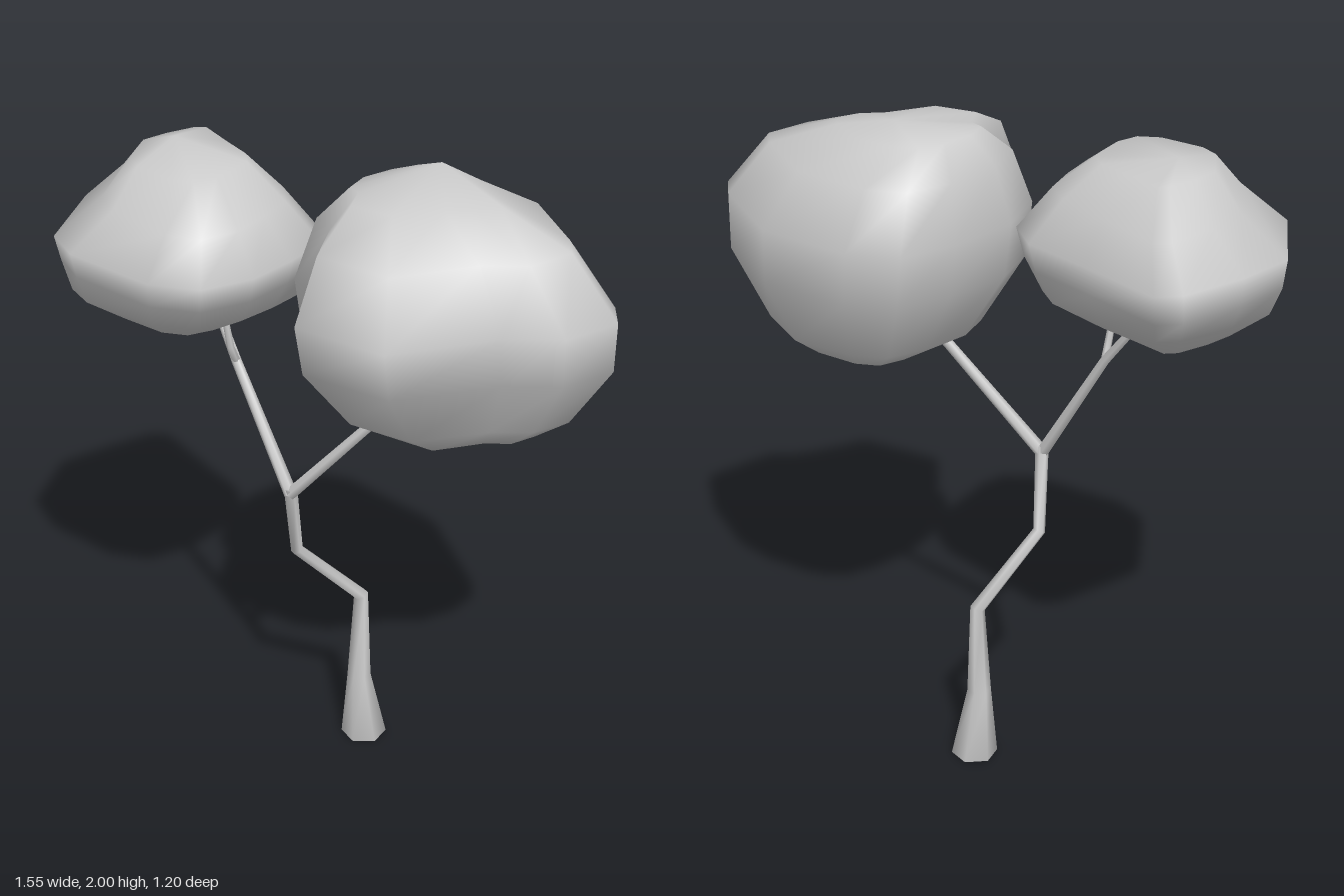
import * as THREE from 'three';

const material = new THREE.MeshStandardMaterial({ color: 0xcccccc });
const v3 = (x, y, z) => new THREE.Vector3(x, y, z);

// Closed smooth surface through rings of points, ended by a bottom and a top point
function loft(name, rings, bottom, top) {
  const n = rings[0].length;
  const points = [...rings.flat(), bottom, top];
  const b = points.length - 2, t = b + 1, last = (rings.length - 1) * n;
  const index = [];
  for (let i = 0; i < n; i++) {
    const j = (i + 1) % n;
    for (let r = 0; r < last; r += n) {
      index.push(r + i, r + n + i, r + j, r + j, r + n + i, r + n + j);
    }
    index.push(b, i, j, t, last + j, last + i);
  }
  const geometry = new THREE.BufferGeometry().setFromPoints(points);
  geometry.setIndex(index);
  geometry.computeVertexNormals();
  const mesh = new THREE.Mesh(geometry, material);
  mesh.name = name;
  return mesh;
}

// Tapered limb along nodes [x, y, z, radius]
function limb(name, nodes, sides = 6) {
  const centres = nodes.map(([x, y, z]) => v3(x, y, z));
  const up = v3(0, 1, 0);
  const rings = nodes.map((node, k) => {
    const before = centres[Math.max(k - 1, 0)];
    const after = centres[Math.min(k + 1, nodes.length - 1)];
    const dir = after.clone().sub(before).normalize();
    // the foot lies flat on the ground
    if (centres[k].y < 0.02) dir.copy(up);
    const turn = new THREE.Quaternion().setFromUnitVectors(up, dir);
    return Array.from({ length: sides }, (_, i) => {
      const a = (i / sides) * Math.PI * 2;
      return v3(Math.cos(a), 0, Math.sin(a)).multiplyScalar(node[3])
        .applyQuaternion(turn).add(centres[k]);
    });
  });
  return loft(name, rings, centres[0], centres[centres.length - 1]);
}

// Foliage: a plan outline fitted to levels [y, xMin, xMax, zMin, zMax]
function crown(name, outline, levels, bottom, top) {
  const plan = outline.map(([x, z]) => new THREE.Vector2(x, z));
  const box = new THREE.Box2().setFromPoints(plan);
  const unit = plan.map((p) => p.sub(box.min).divide(box.getSize(new THREE.Vector2())));
  const lerp = THREE.MathUtils.lerp;
  const rings = levels.map(([y, x0, x1, z0, z1]) =>
    unit.map((p) => v3(lerp(x0, x1, p.x), y, lerp(z0, z1, p.y))));
  return loft(name, rings, v3(...bottom), v3(...top));
}

export function createModel() {
  const tree = new THREE.Group();
  tree.name = 'tree';

  // Crooked trunk with a flared foot
  tree.add(limb('trunk', [
    [0.11, 0, -0.105, 0.07], [0.094, 0.22, -0.1, 0.036], [0.098, 0.51, -0.108, 0.023],
    [-0.095, 0.72, -0.03, 0.019], [-0.11, 0.97, 0.035, 0.02],
  ]));

  // Branches into the crowns
  tree.add(limb('leftBranch', [
    [-0.11, 0.95, 0.033, 0.02], [0.18, 1.3, 0.14, 0.015], [0.28, 1.42, 0.17, 0.012],
  ]));
  tree.add(limb('rightBranch', [
    [-0.11, 0.95, 0.033, 0.02], [-0.27, 1.31, -0.115, 0.015], [-0.36, 1.5, -0.25, 0.011],
  ]));
  tree.add(limb('twig', [
    [-0.27, 1.31, -0.115, 0.012], [-0.285, 1.37, -0.09, 0.011], [-0.305, 1.5, -0.09, 0.009],
  ]));

  // Large crown
  tree.add(crown('leftCrown', [
    [0.31, -0.25], [0.46, -0.2], [0.68, 0], [0.775, 0.3], [0.775, 0.4], [0.63, 0.5],
    [0.46, 0.5], [0.15, 0.6], [-0.09, 0.44], [-0.05, 0.23], [-0.1, 0.14], [-0.02, -0.03],
    [0.15, -0.17],
  ], [
    [1.28, 0.18, 0.58, -0.02, 0.35],
    [1.34, 0.06, 0.67, -0.1, 0.41],
    [1.54, -0.07, 0.775, -0.22, 0.55],
    [1.7, -0.09, 0.775, -0.245, 0.6],
    [1.87, -0.03, 0.65, -0.2, 0.49],
    [1.95, 0.06, 0.46, -0.07, 0.28],
  ], [0.42, 1.25, 0.08], [0.31, 2, 0.03]));

  // Small crown
  tree.add(crown('rightCrown', [
    [-0.4, -0.6], [-0.32, -0.6], [-0.17, -0.38], [-0.04, -0.2], [-0.02, -0.07], [-0.1, 0.05],
    [-0.2, 0.17], [-0.34, 0.245], [-0.49, 0.21], [-0.72, 0.02], [-0.78, -0.1], [-0.72, -0.39],
    [-0.58, -0.5],
  ], [
    [1.45, -0.62, -0.24, -0.39, 0],
    [1.53, -0.74, -0.09, -0.49, 0.12],
    [1.63, -0.765, -0.04, -0.6, 0.22],
    [1.71, -0.78, -0.02, -0.6, 0.245],
    [1.83, -0.64, -0.12, -0.52, 0.18],
    [1.93, -0.56, -0.23, -0.38, 0.02],
  ], [-0.43, 1.42, -0.28], [-0.44, 1.96, -0.24]));

  return tree;
}
